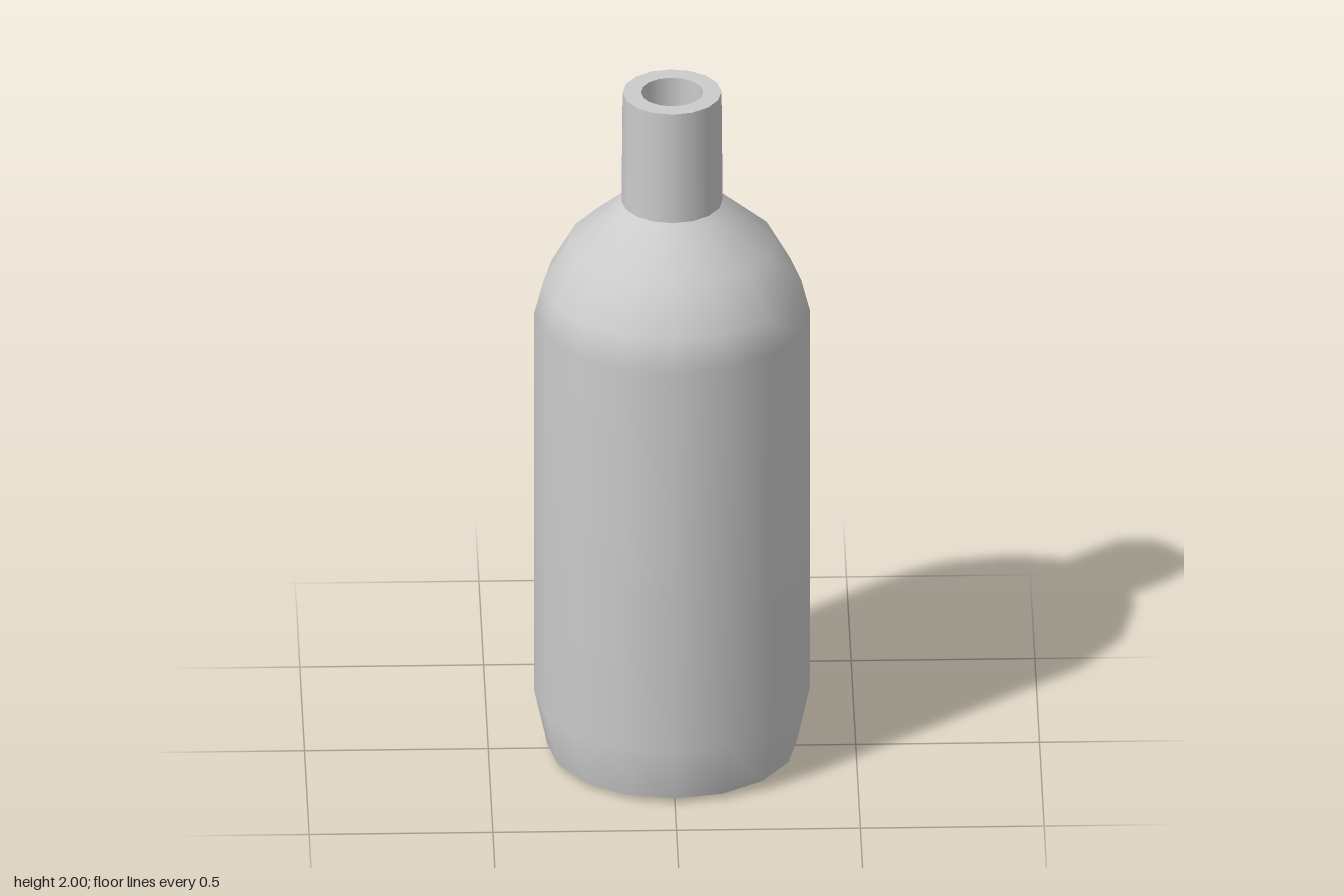
import * as THREE from 'three';

const SIDES = 16;

export function createModel() {
  const bottle = new THREE.Group();
  bottle.name = 'bottle';
  const material = new THREE.MeshStandardMaterial({ color: 0xcccccc });

  // Each section is its own lathe, so edges between sections stay sharp
  const addSection = (name, profile) => {
    const points = profile.map(([r, y]) => new THREE.Vector2(r, y));
    const mesh = new THREE.Mesh(new THREE.LatheGeometry(points, SIDES), material);
    mesh.name = name;
    bottle.add(mesh);
  };

  // Base disc and its shallow bevel
  addSection('base', [[0, 0], [0.29, 0]]);
  addSection('baseBevel', [[0.29, 0], [0.34, 0.015]]);

  // Body tapering in at the foot, with a rounded shoulder
  addSection('body', [
    [0.34, 0.015], [0.375, 0.175], [0.375, 1.33],
    [0.352, 1.42], [0.282, 1.545], [0.138, 1.67],
  ]);

  // Neck, flat rim and hollow mouth
  addSection('neck', [[0.138, 1.67], [0.135, 2]]);
  addSection('rim', [[0.135, 2], [0.085, 2]]);
  addSection('mouthWall', [[0.085, 2], [0.085, 1.67]]);
  addSection('mouthFloor', [[0.085, 1.67], [0, 1.67]]);

  return bottle;
}
